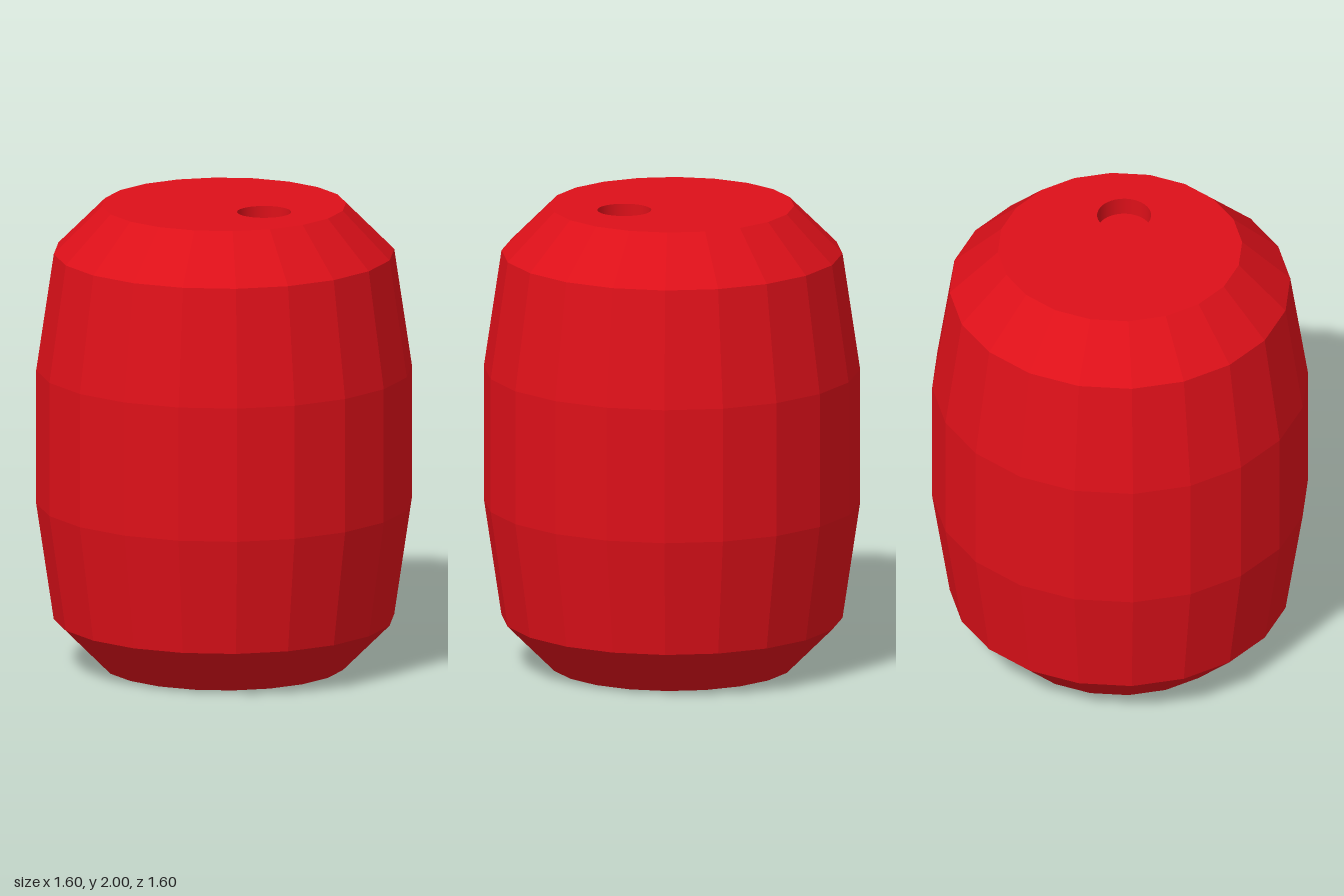
import * as THREE from 'three';

const SIDES = 20;

export function createModel() {
  const group = new THREE.Group();
  group.name = 'barrel';
  const flatRed = new THREE.MeshStandardMaterial({ color: 0xdd1019, flatShading: true });
  const smoothRed = new THREE.MeshStandardMaterial({ color: 0xdd1019 });

  const add = (name, geometry, material) => {
    const mesh = new THREE.Mesh(geometry, material);
    mesh.name = name;
    group.add(mesh);
    return mesh;
  };
  const lathe = (points, sides) =>
    new THREE.LatheGeometry(points.map(([r, y]) => new THREE.Vector2(r, y)), sides);

  // Faceted body with bevelled ends and a closed base
  add('body', lathe([
    [0, 0], [0.52, 0], [0.725, 0.205], [0.8, 0.71],
    [0.8, 1.29], [0.725, 1.795], [0.52, 2],
  ], SIDES), flatRed);

  // Flat lid with an off-centre round opening
  const hole = { x: 0.16, z: 0.157, r: 0.115, depth: 0.08 };
  const outline = [];
  for (let i = 0; i < SIDES; i++) {
    const a = (i / SIDES) * Math.PI * 2;
    outline.push(new THREE.Vector2(0.52 * Math.cos(a), 0.52 * Math.sin(a)));
  }
  const lidShape = new THREE.Shape(outline);
  lidShape.holes.push(new THREE.Path().absarc(hole.x, -hole.z, hole.r, 0, Math.PI * 2, true));
  const lid = add('lid', new THREE.ShapeGeometry(lidShape, 16).rotateX(-Math.PI / 2), flatRed);
  lid.position.y = 2;

  // Shallow recess: inward-facing wall and floor
  const wall = add('recessWall', lathe([[hole.r, 0], [hole.r, -hole.depth]], 32), smoothRed);
  wall.position.set(hole.x, 2, hole.z);
  const floor = add('recessFloor', new THREE.CircleGeometry(hole.r, 32).rotateX(-Math.PI / 2), smoothRed);
  floor.position.set(hole.x, 2 - hole.depth, hole.z);

  return group;
}
